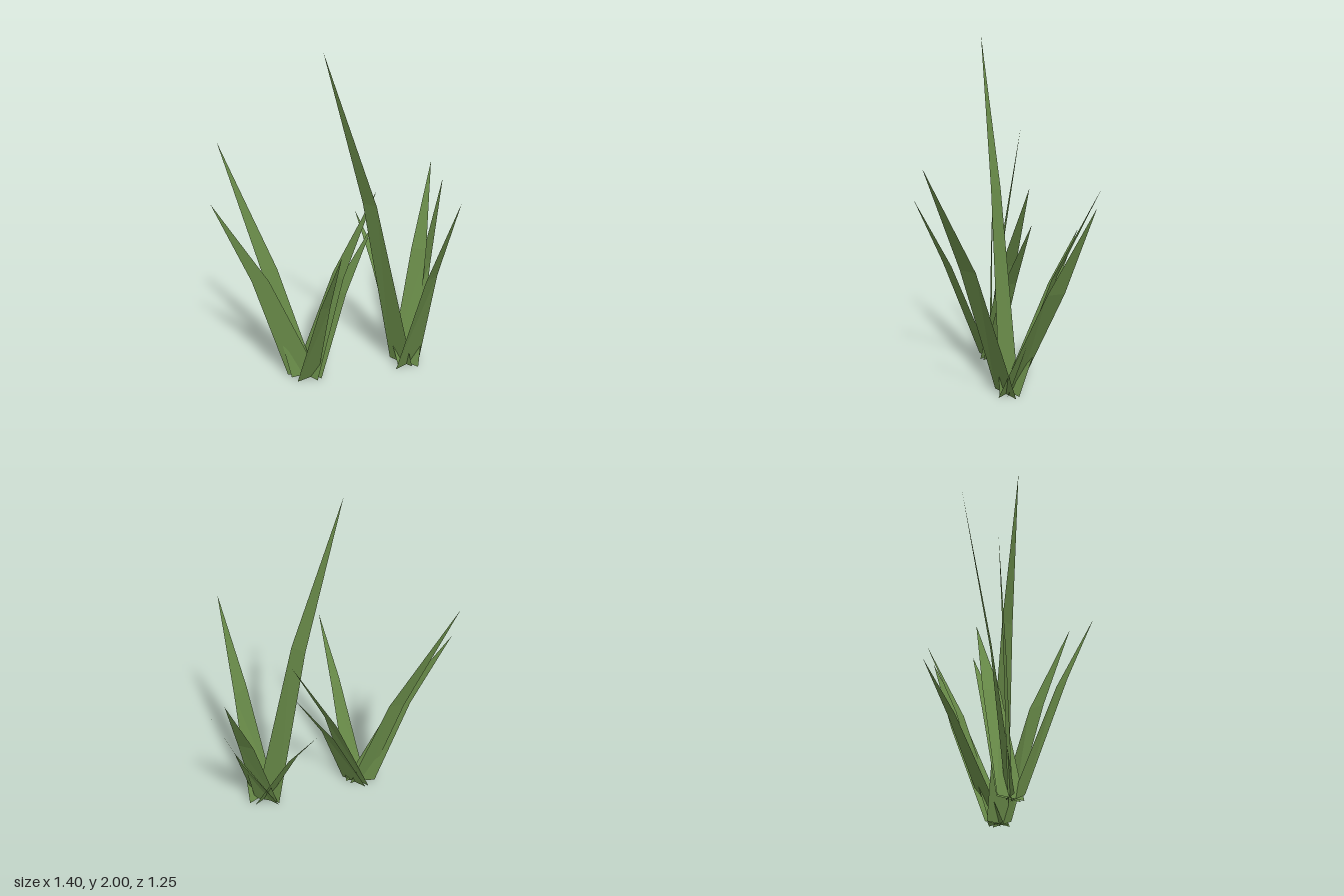
import * as THREE from 'three';

const grassGreen = new THREE.MeshStandardMaterial({ color: 0x688a48, side: THREE.DoubleSide, flatShading: true });
grassGreen.name = 'grassGreen';

// One blade: base edge, bend edge and a pointed tip
function blade(name, baseA, baseB, bendA, bendB, tip) {
  const geometry = new THREE.BufferGeometry();
  geometry.setAttribute('position', new THREE.Float32BufferAttribute([baseA, baseB, bendA, bendB, tip].flat(), 3));
  geometry.setIndex([0, 1, 3, 0, 3, 2, 2, 3, 4]);
  geometry.computeVertexNormals();
  const mesh = new THREE.Mesh(geometry, grassGreen);
  mesh.name = name;
  return mesh;
}

function tuft(name, blades) {
  const group = new THREE.Group();
  group.name = name;
  for (const [bladeName, ...points] of blades) group.add(blade(bladeName, ...points));
  return group;
}

export function createModel() {
  const model = new THREE.Group();
  model.name = 'grass';

  // Rear tuft on the right
  model.add(tuft('rightTuft', [
    ['backBlade', [-0.41, 0, -0.21], [-0.27, 0, -0.16], [-0.47, 0.7, -0.385], [-0.39, 0.7, -0.335], [-0.555, 1.45, -0.625]],
    ['outerBlade', [-0.41, 0, -0.25], [-0.27, 0, -0.12], [-0.55, 0.66, -0.37], [-0.475, 0.66, -0.30], [-0.70, 1.15, -0.50]],
    ['upperInnerBlade', [-0.34, 0, -0.26], [-0.31, 0, -0.08], [-0.09, 0.63, -0.185], [-0.10, 0.63, -0.075], [0.16, 1.13, -0.07]],
    ['lowerInnerBlade', [-0.32, 0, -0.25], [-0.28, 0, -0.08], [-0.08, 0.52, -0.18], [-0.08, 0.52, -0.075], [0.16, 0.92, -0.09]],
    ['frontBlade', [-0.41, 0, -0.15], [-0.265, 0, -0.13], [-0.43, 0.64, 0.12], [-0.35, 0.62, 0.11], [-0.435, 1.04, 0.32]],
  ]));

  // Front tuft on the left
  model.add(tuft('leftTuft', [
    ['tallBlade', [0.19, 0, 0.035], [0.225, 0, 0.20], [-0.01, 1.12, 0], [0.015, 1.12, 0.09], [-0.24, 2, -0.04]],
    ['frontBlade', [0.13, 0, 0.155], [0.325, 0, 0.165], [0.12, 0.72, 0.39], [0.235, 0.72, 0.37], [0.118, 1.28, 0.62]],
    ['upperOuterBlade', [0.19, 0, 0.05], [0.27, 0, 0.18], [0.43, 0.68, -0.035], [0.475, 0.68, 0.05], [0.67, 1.18, -0.12]],
    ['lowerOuterBlade', [0.20, 0, 0.03], [0.25, 0, 0.23], [0.51, 0.6, -0.015], [0.48, 0.6, 0.085], [0.705, 1.08, -0.045]],
    ['backBlade', [0.17, 0, 0.13], [0.31, 0, 0.13], [0.215, 0.58, -0.17], [0.285, 0.58, -0.17], [0.25, 0.88, -0.37]],
  ]));

  return model;
}
